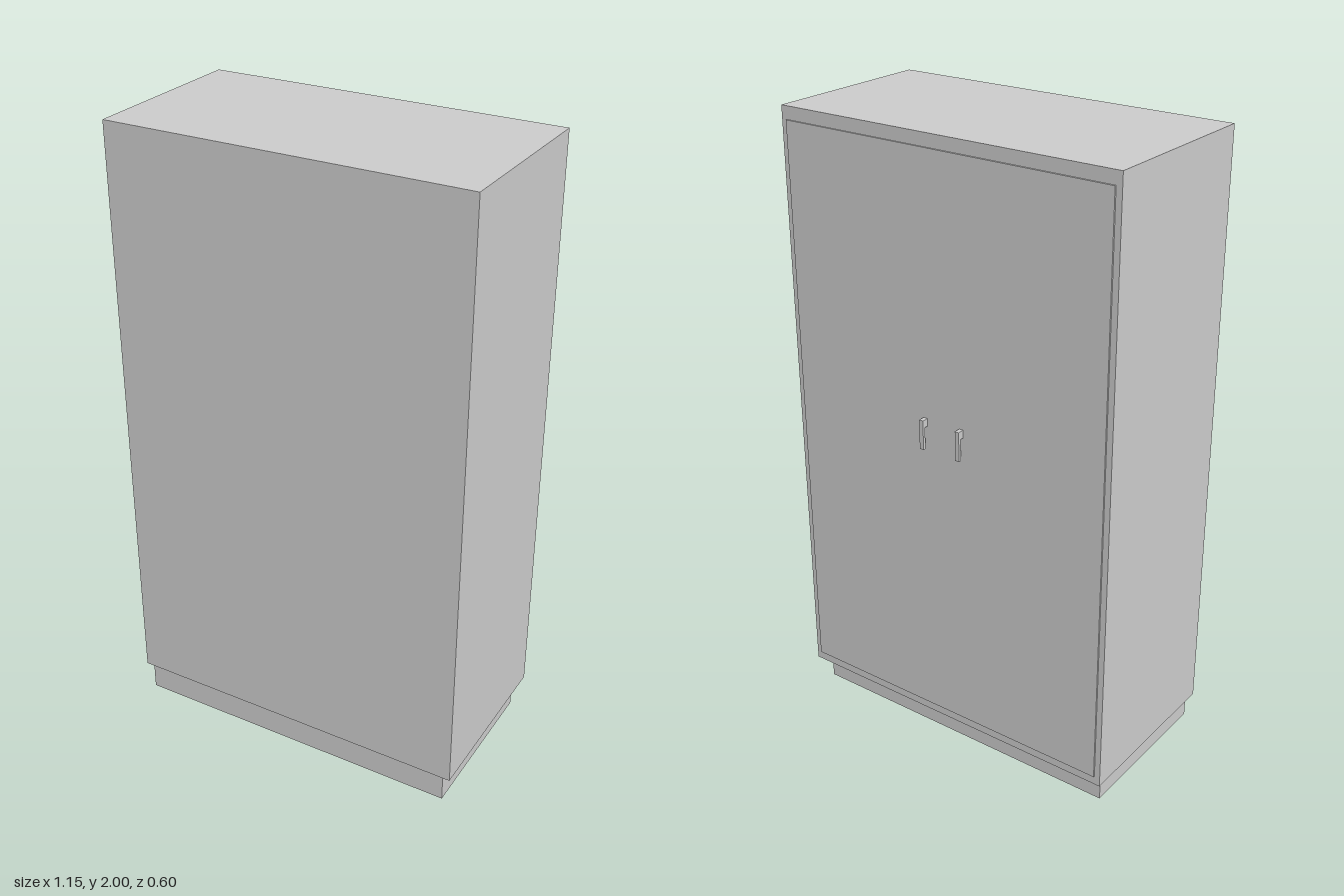
import * as THREE from 'three';

const material = new THREE.MeshStandardMaterial({ color: 0xcccccc, flatShading: true });

// Box given by its [min, max] extents on each axis
function box(name, [x0, x1], [y0, y1], [z0, z1]) {
  const mesh = new THREE.Mesh(new THREE.BoxGeometry(x1 - x0, y1 - y0, z1 - z0), material);
  mesh.position.set((x0 + x1) / 2, (y0 + y1) / 2, (z0 + z1) / 2);
  mesh.name = name;
  return mesh;
}

// Hooked handle: short stem from the door with a lever hanging down
function handle(name, x) {
  const profile = new THREE.Shape([
    [0, 1.15], [0.022, 1.15], [0.022, 1.055], [0.013, 1.055], [0.013, 1.125], [0, 1.125],
  ].map(([d, y]) => new THREE.Vector2(d, y)));
  const width = 0.014;
  const geometry = new THREE.ExtrudeGeometry(profile, { depth: width, bevelEnabled: false });
  geometry.translate(0, 0, -width / 2).rotateY(Math.PI / 2);
  const mesh = new THREE.Mesh(geometry, material);
  mesh.position.set(x, 0, -0.279);
  mesh.name = name;
  return mesh;
}

export function createModel() {
  const cabinet = new THREE.Group();
  cabinet.name = 'cabinet';

  // Carcass on a recessed plinth
  cabinet.add(box('carcass', [-0.575, 0.575], [0.09, 2], [-0.275, 0.301]));
  cabinet.add(box('plinth', [-0.55, 0.55], [0, 0.09], [-0.23, 0.296]));

  // Pair of thin doors meeting in the middle, on the -z side
  cabinet.add(box('leftDoor', [0, 0.556], [0.12, 1.96], [-0.28, -0.275]));
  cabinet.add(box('rightDoor', [-0.556, 0], [0.12, 1.96], [-0.28, -0.275]));

  // The profile's outward direction maps to +x, so turn each handle towards -z
  for (const [name, x] of [['leftHandle', 0.066], ['rightHandle', -0.066]]) {
    const part = handle(name, x);
    part.geometry.rotateY(0);
    cabinet.add(part);
  }
  return cabinet;
}
